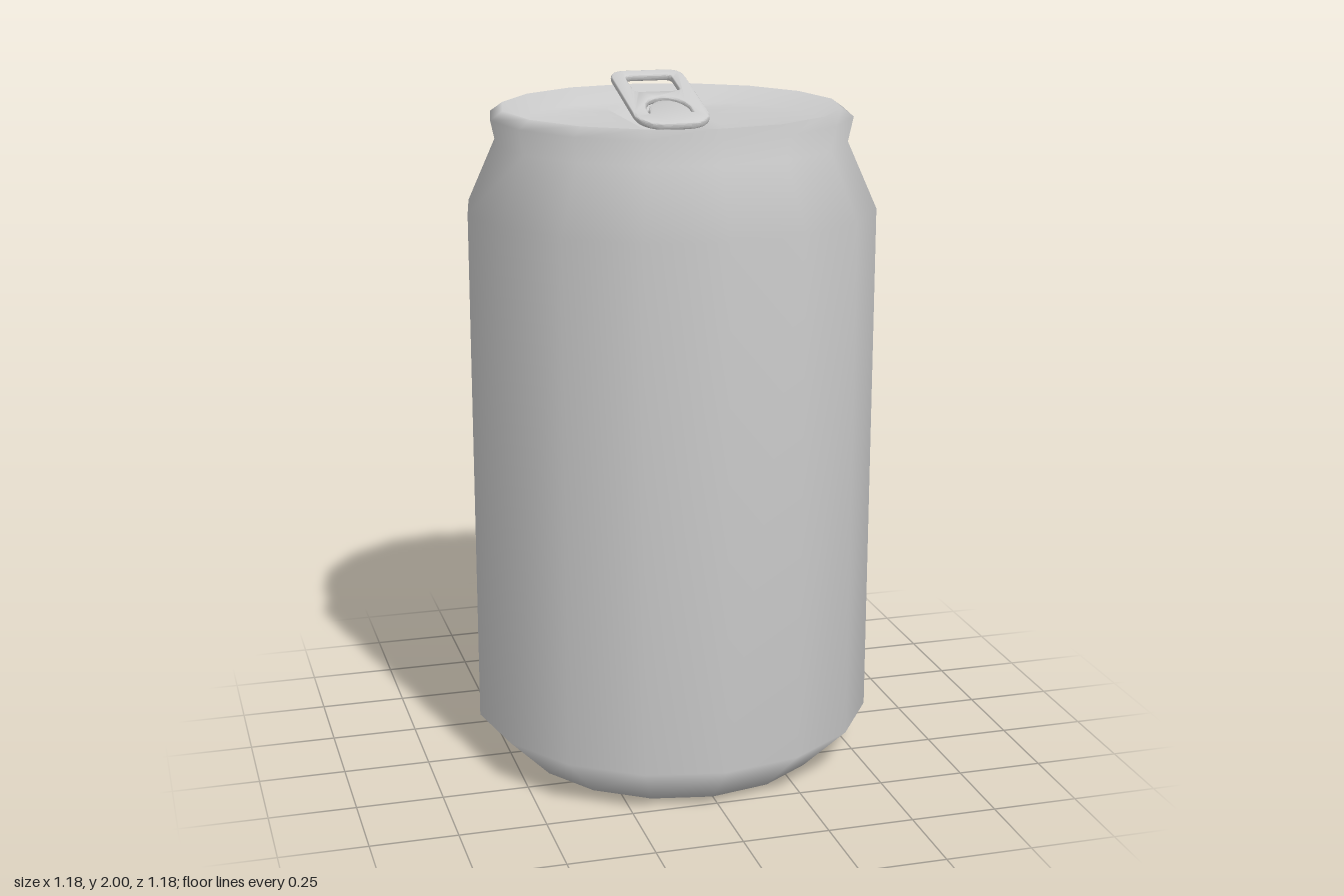
import * as THREE from 'three';
import { toCreasedNormals } from 'three/addons/utils/BufferGeometryUtils.js';

const SIDES = 16;
const material = new THREE.MeshStandardMaterial({ color: 0xcccccc, roughness: 0.7 });

// Round cross-section of the can
function circleRing(radius, y) {
  return Array.from({ length: SIDES }, (_, i) => {
    const a = (i / SIDES) * Math.PI * 2;
    return [radius * Math.cos(a), y, radius * Math.sin(a)];
  });
}

// Rectangular cross-section with the same point count, for the recess in the lid
function rectRing(hx, hz, y) {
  const quarter = [[1, 0], [1, 1 / 3], [1, 2 / 3], [1, 1], [0, 1]];
  return Array.from({ length: SIDES }, (_, i) => {
    const q = Math.floor(i / 4);
    const sx = q === 1 || q === 2 ? -1 : 1;
    const sz = q >= 2 ? -1 : 1;
    const [x, z] = quarter[q % 2 ? 4 - (i % 4) : i % 4];
    return [sx * x * hx, y, sz * z * hz];
  });
}

// Smooth skin through the rings, closed by a fan at both ends
function skin(rings) {
  const points = rings.flat();
  const index = [];
  const last = rings.length - 1;
  const bottom = points.push([0, rings[0][0][1], 0]) - 1;
  const top = points.push([0, rings[last][0][1], 0]) - 1;
  for (let i = 0; i < SIDES; i++) {
    const j = (i + 1) % SIDES;
    index.push(bottom, i, j, top, last * SIDES + j, last * SIDES + i);
    for (let k = 0; k < last; k++) {
      const a = k * SIDES + i, b = k * SIDES + j;
      index.push(a, a + SIDES, b, b, a + SIDES, b + SIDES);
    }
  }
  const geometry = new THREE.BufferGeometry();
  geometry.setAttribute('position', new THREE.Float32BufferAttribute(points.flat(), 3));
  geometry.setIndex(index);
  geometry.computeVertexNormals();
  return geometry;
}

// Rounded rectangle with separate radii for its lower (r0) and upper (r1) corners
function roundedRect(path, hx, y0, y1, r0, r1) {
  path.moveTo(-hx + r0, y0);
  path.lineTo(hx - r0, y0);
  path.quadraticCurveTo(hx, y0, hx, y0 + r0);
  path.lineTo(hx, y1 - r1);
  path.quadraticCurveTo(hx, y1, hx - r1, y1);
  path.lineTo(-hx + r1, y1);
  path.quadraticCurveTo(-hx, y1, -hx, y1 - r1);
  path.lineTo(-hx, y0 + r0);
  path.quadraticCurveTo(-hx, y0, -hx + r0, y0);
  return path;
}

function pullTab() {
  const bevel = 0.008;
  const shape = roundedRect(new THREE.Shape(), 0.112 - bevel, -0.197 + bevel, 0.197 - bevel, 0.085, 0.045);

  // Finger hole and the crescent cut around the tongue
  shape.holes.push(roundedRect(new THREE.Path(), 0.068 + bevel, 0.032, 0.16, 0.03, 0.03));
  const cut = new THREE.Path();
  cut.moveTo(-0.07, -0.12);
  cut.bezierCurveTo(-0.09, 0.042, 0.09, 0.042, 0.07, -0.12);
  cut.lineTo(0.056, -0.12);
  cut.bezierCurveTo(0.055, -0.005, -0.055, -0.005, -0.056, -0.12);
  cut.closePath();
  shape.holes.push(cut);

  const geometry = new THREE.ExtrudeGeometry(shape, {
    depth: 0.004, bevelEnabled: true, bevelThickness: bevel,
    bevelSize: bevel * 0.9, bevelSegments: 3, curveSegments: 10,
  });
  geometry.translate(0, 0, -0.002);
  geometry.rotateX(-Math.PI / 2);
  const tab = new THREE.Mesh(toCreasedNormals(geometry, 0.9), material);
  tab.name = 'pullTab';
  tab.position.set(0, 1.938, -0.1);
  tab.rotation.x = 0.28;
  return tab;
}

export function createModel() {
  const model = new THREE.Group();
  model.name = 'drinkCan';

  // Base, wall, neck, rolled rim, lid and recess as one smooth skin
  const profile = [
    [0.455, 0], [0.59, 0.135], [0.59, 1.65], [0.505, 1.84],
    [0.52, 1.91], [0.485, 1.935], [0.43, 1.89],
  ];
  const rings = profile.map(([r, y]) => circleRing(r, y));
  rings.push(rectRing(0.115, 0.3, 1.89), rectRing(0.105, 0.29, 1.845));
  const body = new THREE.Mesh(skin(rings), material);
  body.name = 'canBody';
  model.add(body);

  model.add(pullTab());

  // Rivet holding the tab, under its tongue
  const rivet = new THREE.Mesh(new THREE.CylinderGeometry(0.025, 0.025, 0.07, 12), material);
  rivet.name = 'rivet';
  rivet.position.set(0, 1.875, -0.01);
  model.add(rivet);

  return model;
}
